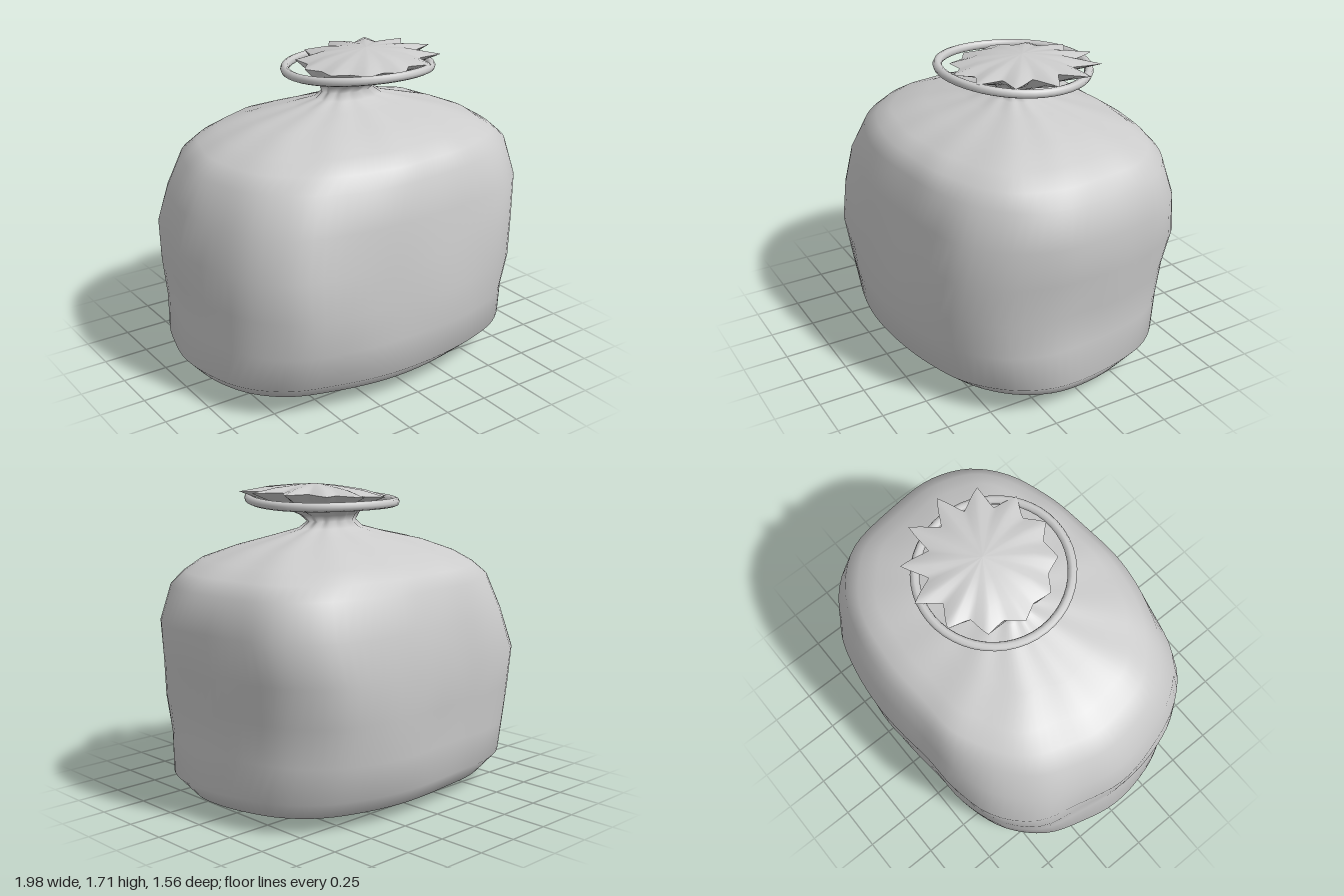
import * as THREE from 'three';

const SEG = 96, PLEATS = 12;
const material = new THREE.MeshStandardMaterial({ color: 0xcccccc, side: THREE.DoubleSide });

// Lumpy plan outline of the stuffed sack: radius every 15 degrees, from +x towards +z
const radii = [0.965, 1.0, 1.005, 0.955, 0.85, 0.79, 0.775, 0.8, 0.863, 0.965, 1.0, 0.99,
  0.985, 0.968, 1.0, 0.96, 0.865, 0.775, 0.765, 0.81, 0.88, 0.965, 0.99, 0.965];
const plan = new THREE.CatmullRomCurve3(radii.map((r, i) => {
  const t = i * Math.PI / 12;
  return new THREE.Vector3(r * Math.cos(t) / 0.985, 0, r * Math.sin(t) / 0.785);
}), true, 'catmullrom', 0.5);

// Skin a stack of closed rings.
function skin(rings) {
  const index = [];
  for (let i = 0; i < rings.length - 1; i++) {
    for (let j = 0; j < SEG; j++) {
      const a = i * SEG + j, b = i * SEG + (j + 1) % SEG;
      index.push(a, a + SEG, b, b, a + SEG, b + SEG);
    }
  }
  const geo = new THREE.BufferGeometry();
  geo.setAttribute('position', new THREE.Float32BufferAttribute(rings.flat(2), 3));
  geo.setIndex(index);
  geo.computeVertexNormals();
  return geo;
}

// Sack ring: blend of a plain ellipse and the plan outline, with pleats and soft dents.
function ring([y, x0, x1, z0, z1, fullness, pleat, dent]) {
  const pts = [];
  for (let j = 0; j < SEG; j++) {
    const t = j / SEG * Math.PI * 2;
    const p = plan.getPoint(j / SEG);
    const wob = dent * (Math.sin(5 * t + 4 * y) + 0.7 * Math.sin(8 * t - 7 * y + 1));
    const k = 1 + wob + pleat * (Math.cos(PLEATS * t - 1) - 0.4);
    const c = THREE.MathUtils.lerp(Math.cos(t), p.x, fullness) * k;
    const s = THREE.MathUtils.lerp(Math.sin(t), p.z, fullness) * k;
    pts.push([(x0 + x1) / 2 + c * (x1 - x0) / 2, y, (z0 + z1) / 2 + s * (z1 - z0) / 2]);
  }
  return pts;
}

// Star-shaped mouth outline: sharp tips on the left, shallow scallops on the right.
function mouthRing(scale, y0, rise) {
  const pts = [];
  for (let j = 0; j < SEG; j++) {
    const t = j / SEG * Math.PI * 2;
    const phase = (j % 8) / 8;
    const tip = Math.pow(Math.abs(1 - 2 * phase), 1.3);
    const side = Math.cos(t + 0.5);
    const r = 0.305 - 0.03 * side + tip * scale * (0.09 + 0.05 * side);
    const a = t + 0.08;
    pts.push([
      0.185 + r * scale * Math.cos(a), y0 + rise * Math.cos(a) * scale, r * scale * Math.sin(a) - 0.01,
    ]);
  }
  return pts;
}

export function createModel() {
  const group = new THREE.Group();
  const add = (name, geo) => {
    const mesh = new THREE.Mesh(geo, material);
    mesh.name = name;
    group.add(mesh);
  };

  // Sack body: y, xMin, xMax, zMin, zMax, fullness, pleat depth, dent depth
  const profile = [
    [0, 0, 0, 0, 0, 0, 0, 0],
    [0.022, -0.69, 0.65, -0.45, 0.45, 0.4, 0, 0],
    [0.07, -0.91, 0.87, -0.65, 0.65, 0.5, 0, 0.003],
    [0.17, -1.0, 0.95, -0.73, 0.755, 0.6, 0, 0.004],
    [0.36, -0.97, 0.92, -0.75, 0.77, 0.85, 0, 0.006],
    [0.57, -0.985, 0.94, -0.76, 0.785, 0.95, 0, 0.006],
    [0.78, -0.99, 0.97, -0.785, 0.76, 0.95, 0, 0.006],
    [1.0, -0.95, 1.0, -0.75, 0.745, 0.8, 0, 0.006],
    [1.19, -0.87, 0.95, -0.715, 0.70, 0.6, 0.002, 0.007],
    [1.26, -0.78, 0.87, -0.65, 0.64, 0.6, 0.006, 0.008],
    [1.32, -0.67, 0.77, -0.56, 0.565, 0.6, 0.012, 0.008],
    [1.385, -0.50, 0.60, -0.38, 0.39, 0.5, 0.022, 0.008],
    [1.435, -0.27, 0.40, -0.23, 0.23, 0.3, 0.035, 0.005],
    [1.47, -0.14, 0.26, -0.13, 0.13, 0, 0.04, 0],
    [1.505, -0.10, 0.21, -0.095, 0.095, 0, 0.05, 0],
    [1.54, -0.11, 0.25, -0.125, 0.125, 0, 0.06, 0],
    [1.59, -0.15, 0.37, -0.19, 0.19, 0, 0.06, 0],
  ];
  const rim = () => mouthRing(1, 1.655, 0.02);
  add('sackBody', skin([...profile.map(ring), rim()]));

  // Gathered mouth closed by a shallow pleated dome
  add('gatheredTop', skin([
    rim(),
    mouthRing(0.72, 1.685, 0.016),
    mouthRing(0.36, 1.702, 0.012),
    mouthRing(0, 1.71, 0),
  ]));

  // Loose tie ring around the neck, slightly warped
  const loop = [];
  for (let i = 0; i < 20; i++) {
    const t = i / 20 * Math.PI * 2;
    const y = 1.622 + 0.018 * Math.sin(t) - 0.008 * Math.cos(2 * t);
    loop.push(new THREE.Vector3(0.12 + 0.395 * Math.cos(t), y, 0.005 + 0.395 * Math.sin(t)));
  }
  add('tieRing', new THREE.TubeGeometry(new THREE.CatmullRomCurve3(loop, true), 48, 0.024, 8, true));

  return group;
}
